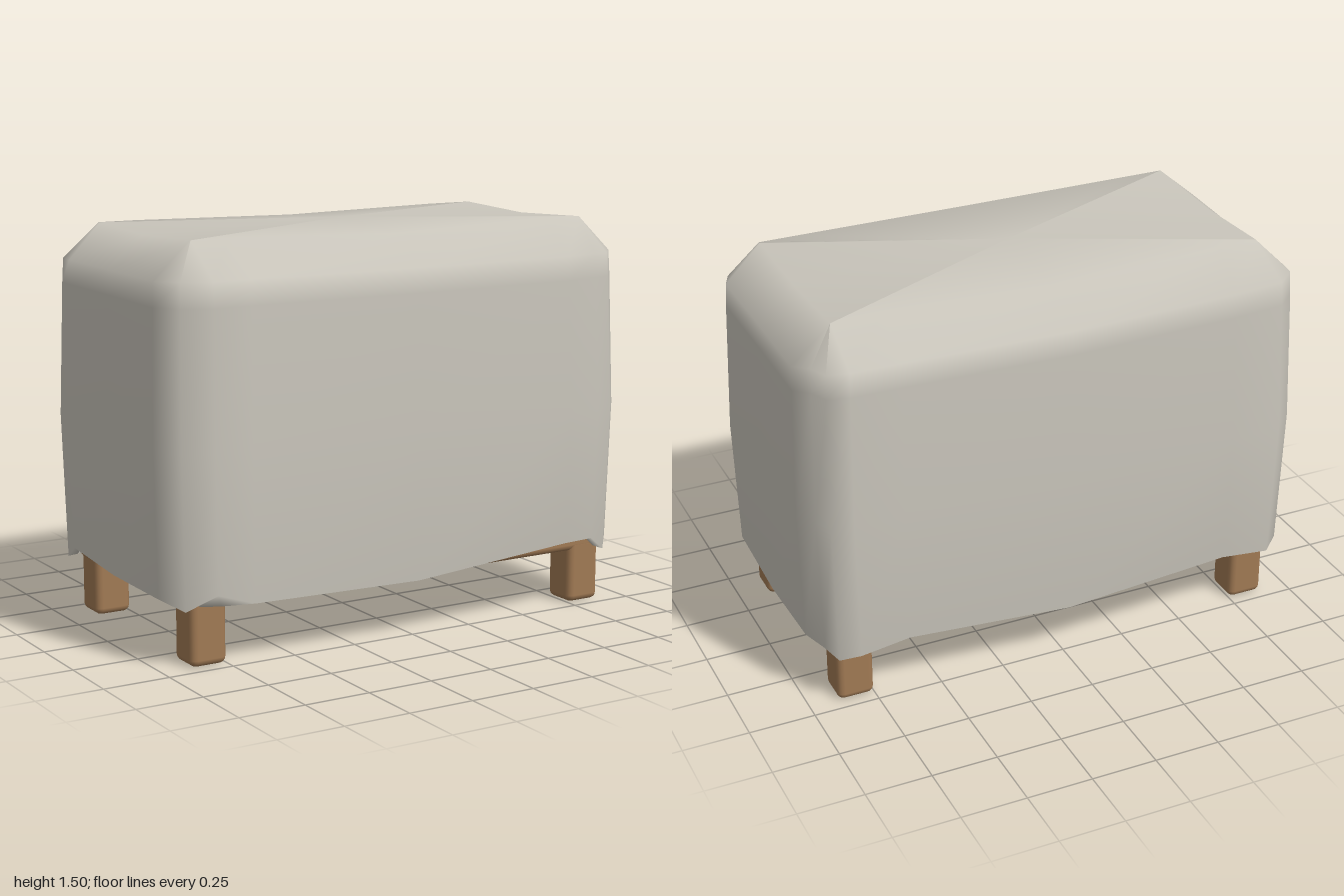
import * as THREE from 'three';
import { RoundedBoxGeometry } from 'three/addons/geometries/RoundedBoxGeometry.js';

// Outline of the cloth, counterclockwise from the front middle: [x, z, hem height, tuck height]
const OUTLINE = [
  [0, 0.555, 0.215], [0.68, 0.545, 0.265], [0.83, 0.515, 0.26], [0.89, 0.51, 0.21],
  [0.96, 0.43, 0.24], [0.99, 0.36, 0.275], [0.99, 0, 0.245], [0.995, -0.39, 0.275, 0.245],
  [0.94, -0.44, 0.23], [0.91, -0.51, 0.21], [0.83, -0.53, 0.22], [0.64, -0.535, 0.25],
  [0, -0.56, 0.22], [-0.68, -0.535, 0.25], [-0.89, -0.515, 0.215], [-0.97, -0.44, 0.22],
  [-0.98, -0.36, 0.27], [-0.985, 0, 0.245], [-1, 0.4, 0.25], [-0.93, 0.475, 0.21],
  [-0.83, 0.535, 0.27, 0.222], [-0.68, 0.53, 0.22],
];

const clamp = THREE.MathUtils.clamp;

// Cloth cover: rings from the turned-in hem up to the rim, closed by a fan
function coverGeometry() {
  const rings = [
    ([x, z, hem, tuck]) => [x * 0.955, tuck ?? hem + 0.01, z * 0.93],
    ([x, z, hem]) => [x * 0.985, hem, z * 0.98],
    ([x, z]) => [x, 0.77, z],
    ([x, z]) => [x * 0.987, 1.27, z * 0.965],
    ([x, z]) => [x * 0.983, 1.36, z * 0.955],
    ([x, z]) => {
      const middle = x === 0 || z === 0;
      return [clamp(x, -0.83, 0.83), middle ? 1.475 : 1.49, clamp(z, -0.37, 0.37) * (x === 0 ? 1.08 : 1)];
    },
  ];
  const n = OUTLINE.length;
  const positions = rings.flatMap((ring) => OUTLINE.flatMap(ring));
  positions.push(0, 1.5, 0);
  const index = [];
  for (let r = 0; r < rings.length; r++) {
    for (let i = 0; i < n; i++) {
      const a = r * n + i;
      const b = r * n + (i + 1) % n;
      if (r < rings.length - 1) index.push(a, b, b + n, a, b + n, a + n);
      else index.push(a, b, rings.length * n);
    }
  }
  const geometry = new THREE.BufferGeometry();
  geometry.setAttribute('position', new THREE.Float32BufferAttribute(positions, 3));
  geometry.setIndex(index);
  geometry.computeVertexNormals();
  return geometry;
}

export function createModel() {
  const cloth = new THREE.MeshStandardMaterial({ color: 0xc9c5bb, side: THREE.DoubleSide });
  cloth.name = 'cloth';
  const wood = new THREE.MeshStandardMaterial({ color: 0xa17a54 });
  wood.name = 'wood';

  const group = new THREE.Group();
  group.name = 'coveredOttoman';
  const add = (name, geometry, material, x, y, z) => {
    const mesh = new THREE.Mesh(geometry, material);
    mesh.name = name;
    mesh.position.set(x, y, z);
    group.add(mesh);
  };

  add('cover', coverGeometry(), cloth, 0, 0, 0);

  // Wooden base board under the cloth
  add('base', new RoundedBoxGeometry(1.8, 0.12, 0.92, 2, 0.025), wood, 0, 0.265, 0);

  // Four short square legs
  const leg = new RoundedBoxGeometry(0.14, 0.25, 0.14, 2, 0.025);
  for (const sx of [-1, 1]) {
    for (const sz of [-1, 1]) {
      add(`${sz > 0 ? 'front' : 'back'}${sx > 0 ? 'Left' : 'Right'}Leg`, leg, wood, sx * 0.82, 0.125, sz * 0.39);
    }
  }
  return group;
}
